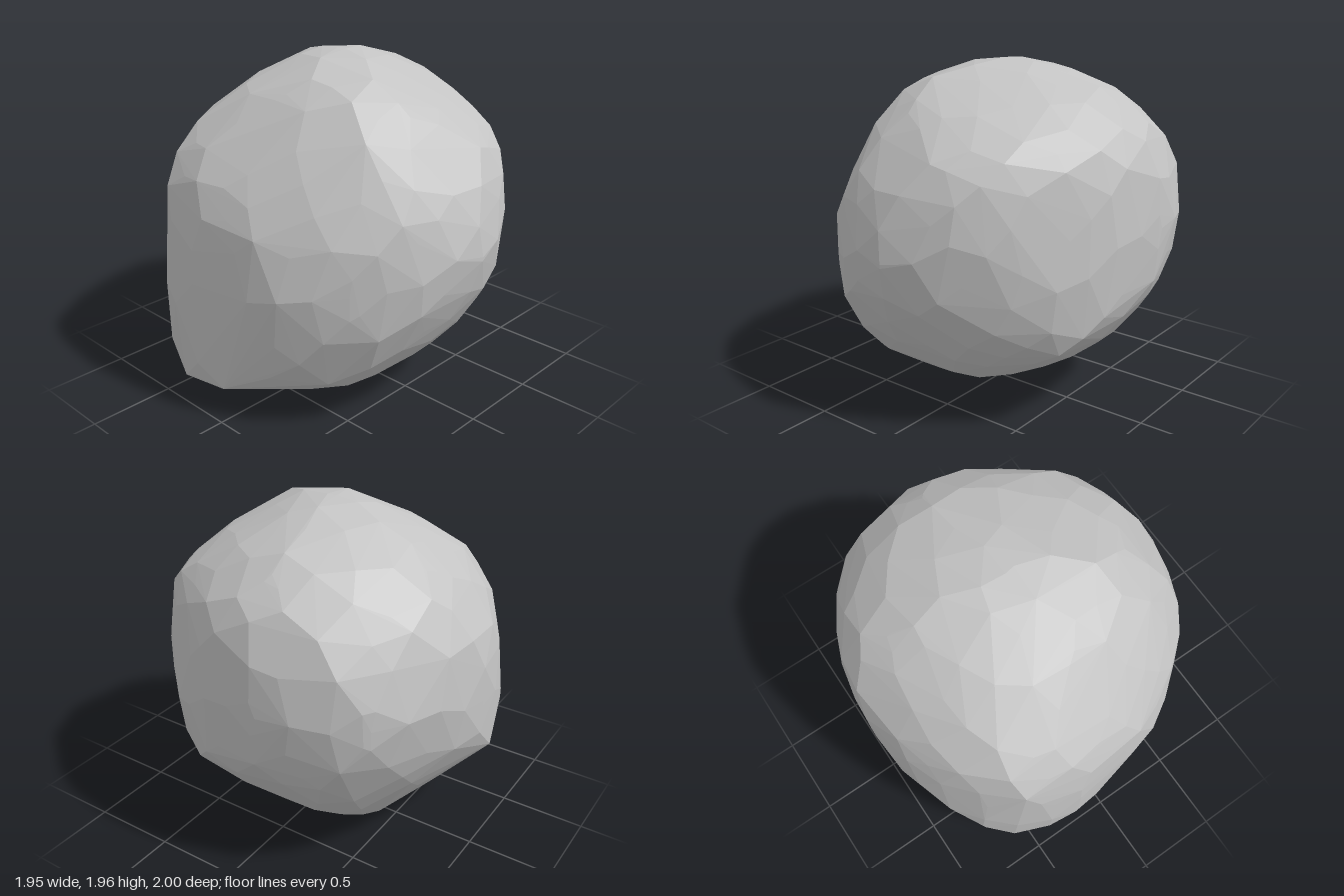
import * as THREE from 'three';
import { ConvexGeometry } from 'three/addons/geometries/ConvexGeometry.js';

const V = (x, y, z) => new THREE.Vector3(x, y, z);
const CENTRE_Y = 0.99;
const CUTS = 48;

// A rounded outline of the boulder: radii (in hundredths) at equal angles, turning from right to up
function outline(right, up, radii) {
  const polar = (i, n, r) => {
    const a = (i / n) * Math.PI * 2;
    return right.clone().multiplyScalar(r * Math.cos(a)).addScaledVector(up, r * Math.sin(a));
  };
  const corners = radii.map((r, i) => polar(i, radii.length, r / 100));
  const points = new THREE.CatmullRomCurve3(corners, true).getPoints(radii.length * 2).slice(0, -1);
  // Flat cuts that just touch the outline all the way round
  const planes = Array.from({ length: CUTS }, (_, i) => {
    const normal = polar(i, CUTS, 1);
    return { normal, reach: Math.max(...points.map((p) => normal.dot(p))) };
  });
  return { points, planes, depth: right.clone().cross(up) };
}

// An outline across a diagonal, tilted 30 degrees up or down
function diagonal(x, z, tilt, radii) {
  const s = Math.SQRT1_2, sin = Math.sin(tilt * Math.PI / 6), cos = Math.cos(Math.PI / 6);
  return outline(V(z * s, 0, -x * s), V(-x * s * sin, cos, -z * s * sin), radii);
}

function boulderGeometry() {
  const outlines = [
    // across the width, along the depth, around the plan
    outline(V(1, 0, 0), V(0, 1, 0), [99, 103, 108, 99, 99, 96, 92, 96, 97, 106, 131, 103, 89, 87, 89, 94]),
    outline(V(0, 0, 1), V(0, 1, 0), [100, 99, 96, 97, 98, 100, 102, 104, 100, 106, 108, 106, 92, 90, 92, 94]),
    outline(V(1, 0, 0), V(0, 0, 1), [95, 92, 92, 95, 100, 98, 95, 97, 96, 105, 107, 102, 100, 102, 106, 102]),
    // three diagonals
    diagonal(1, 1, 1, [107, 106, 107, 99, 96, 94, 90, 91, 97, 100, 98, 94, 89, 88, 93, 99]),
    diagonal(-1, -1, 1, [96, 97, 96, 95, 94, 101, 108, 109, 105, 97, 94, 99, 109, 131, 110, 100]),
    diagonal(1, -1, -1, [103, 102, 99, 101, 103, 105, 102, 94, 91, 93, 92, 96, 100, 110, 134, 116]),
  ];
  const planes = outlines.flatMap((o) => o.planes);
  const points = [];

  // Distance from the centre to the nearest cut in a direction
  const radiusAlong = (direction) => {
    let radius = 2;
    for (const { normal, reach } of planes) {
      const slope = normal.dot(direction);
      if (slope > 0.01) radius = Math.min(radius, reach / slope);
    }
    return radius;
  };

  // Ridge points: the middle of each outline point's chord through the stone
  for (const { points: rim, depth } of outlines) {
    for (const p of rim) {
      let near = -2, far = 2;
      for (const { normal, reach } of planes) {
        const slope = normal.dot(depth);
        if (Math.abs(slope) < 0.05) continue;
        const t = (reach - normal.dot(p)) / slope;
        if (slope > 0) far = Math.min(far, t);
        else near = Math.max(near, t);
      }
      const ridge = p.clone().addScaledVector(depth, (near + far) / 2);
      const limit = radiusAlong(ridge.clone().normalize());
      points.push(ridge.clampLength(0, limit));
    }
  }

  // Facet points spread evenly between the ridges
  const count = 420;
  for (let i = 0; i < count; i++) {
    const y = 1 - (2 * i + 1) / count, r = Math.sqrt(1 - y * y), a = i * 2.399963;
    const d = V(r * Math.cos(a), y, r * Math.sin(a));
    points.push(d.multiplyScalar(radiusAlong(d) * 0.975));
  }
  return new ConvexGeometry(points);
}

export function createModel() {
  const stone = new THREE.MeshStandardMaterial({ color: 0xc4c4c4 });
  stone.name = 'stoneGrey';
  const boulder = new THREE.Mesh(boulderGeometry(), stone);
  boulder.name = 'boulder';
  boulder.position.y = CENTRE_Y;
  const model = new THREE.Group();
  model.name = 'rock';
  model.add(boulder);
  return model;
}
